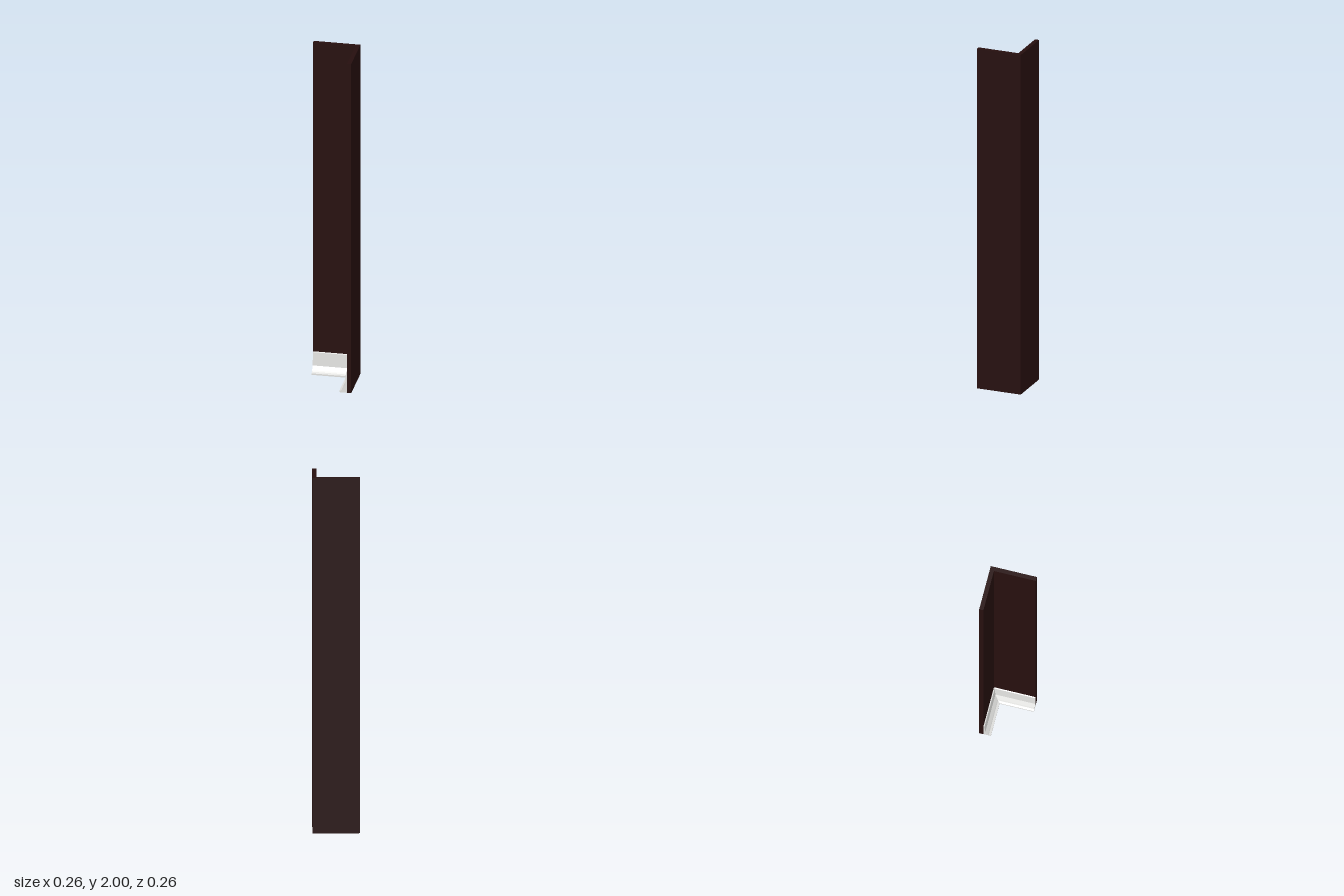
import * as THREE from 'three';

const HALF = 0.131;   // half the footprint
const INNER = 0.107;  // inner wall face

// L-shaped wall corner, drawn as (x, -z) and raised to full height
function wallGeometry() {
  const shape = new THREE.Shape([
    [-HALF, INNER], [INNER, INNER], [INNER, -HALF],
    [HALF, -HALF], [HALF, HALF], [-HALF, HALF],
  ].map(([x, y]) => new THREE.Vector2(x, y)));
  return new THREE.ExtrudeGeometry(shape, { depth: 2, bevelEnabled: false }).rotateX(-Math.PI / 2);
}

// Moulded skirting: a profile swept along both inner faces with a mitred corner
function skirtingGeometry() {
  // distance from the wall, height
  const profile = [
    [0, 0.124], [0.006, 0.121], [0.011, 0.043], [0.027, 0.021],
    [0.031, 0.014], [0.043, 0.009], [0.043, 0], [0, 0],
  ];
  const stations = [
    ([d, y]) => [-HALF, y, -INNER + d],
    ([d, y]) => [INNER - d, y, -INNER + d],
    ([d, y]) => [INNER - d, y, HALF],
  ];
  const rings = stations.map((place) => profile.map(place));
  const n = profile.length;
  const positions = [];
  const triangle = (a, b, c) => positions.push(...a, ...b, ...c);

  // long faces
  for (let s = 0; s < 2; s++) {
    for (let i = 0; i < n; i++) {
      const j = (i + 1) % n;
      triangle(rings[s][i], rings[s][j], rings[s + 1][j]);
      triangle(rings[s][i], rings[s + 1][j], rings[s + 1][i]);
    }
  }
  // end caps, fanned from the foot of the wall
  for (let i = 0; i < n - 2; i++) {
    triangle(rings[0][n - 1], rings[0][i + 1], rings[0][i]);
    triangle(rings[2][n - 1], rings[2][i], rings[2][i + 1]);
  }
  const geometry = new THREE.BufferGeometry();
  geometry.setAttribute('position', new THREE.Float32BufferAttribute(positions, 3));
  geometry.computeVertexNormals();
  return geometry;
}

export function createModel() {
  const darkBrown = new THREE.MeshStandardMaterial({ color: 0x260f0e });
  darkBrown.name = 'dark brown';
  const offWhite = new THREE.MeshStandardMaterial({ color: 0xe0e0de });
  offWhite.name = 'off white';

  const group = new THREE.Group();
  group.name = 'wallCorner';
  const add = (name, geometry, material) => {
    const mesh = new THREE.Mesh(geometry, material);
    mesh.name = name;
    group.add(mesh);
  };
  add('wall', wallGeometry(), darkBrown);
  add('skirting', skirtingGeometry(), offWhite);
  return group;
}
